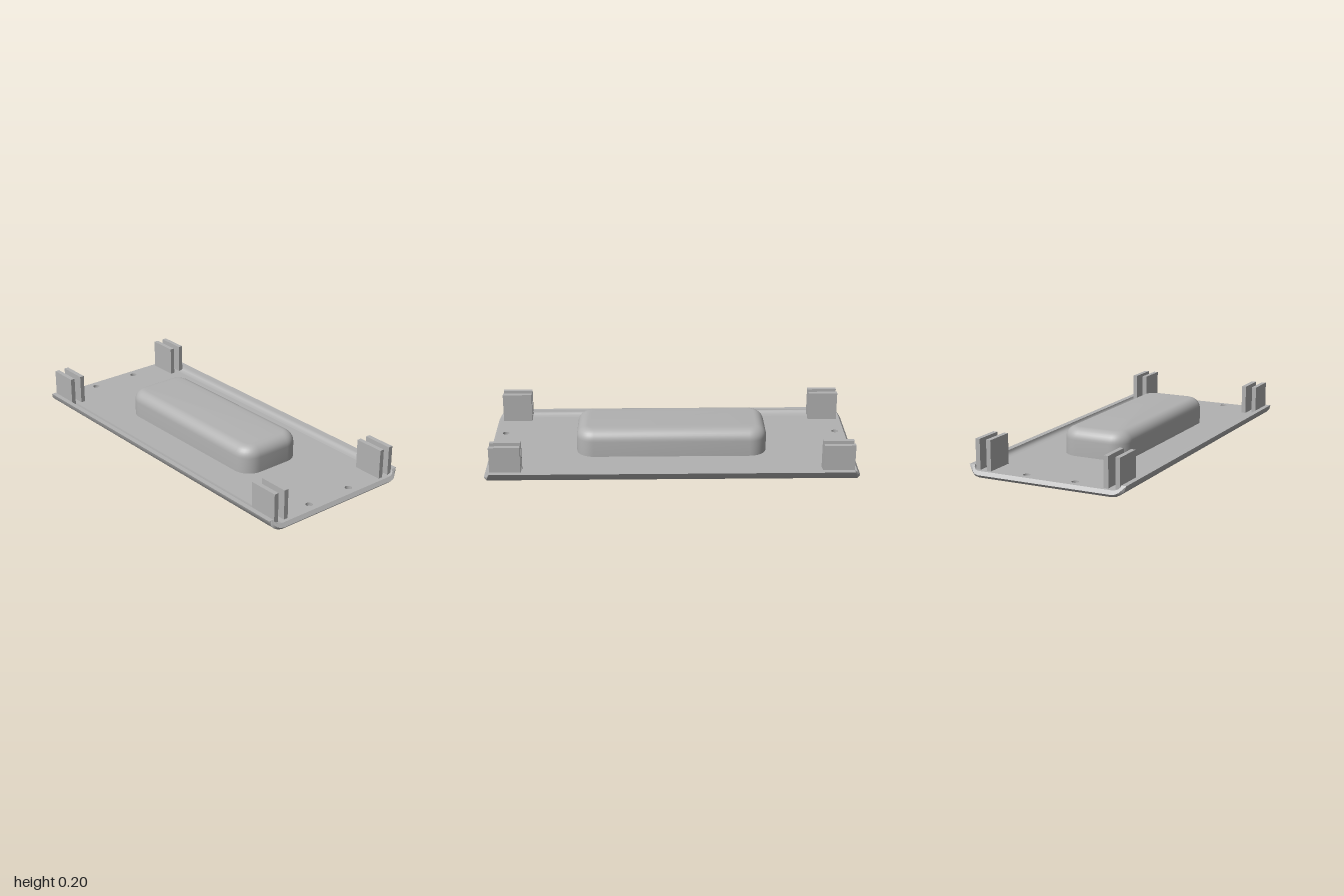
import * as THREE from 'three';
import { toCreasedNormals } from 'three/addons/utils/BufferGeometryUtils.js';

const TOP = 0.034;        // upper face of the flat plate
const FLAT = 0.375;       // half depth of the flat area
const EDGE = 0.985;       // half width of the flat faces
const WALL = 0.03;        // wall of the hollow cover

// Skins a list of closed rings of points, with optional caps.
function loft(rows, { capStart = false, capEnd = false, flip = false, skip = () => false } = {}) {
  const pos = [];
  const n = rows[0].length;
  const tri = (a, b, c) => {
    for (const p of flip ? [a, c, b] : [a, b, c]) pos.push(...p);
  };
  for (let i = 0; i < rows.length - 1; i++) {
    for (let j = 0; j < n; j++) {
      if (skip(i, j)) continue;
      const k = (j + 1) % n;
      tri(rows[i][j], rows[i][k], rows[i + 1][k]);
      tri(rows[i][j], rows[i + 1][k], rows[i + 1][j]);
    }
  }
  const last = rows[rows.length - 1];
  for (let k = 1; k < n - 1; k++) {
    if (capStart) tri(rows[0][0], rows[0][k + 1], rows[0][k]);
    if (capEnd) tri(last[0], last[k], last[k + 1]);
  }
  const g = new THREE.BufferGeometry();
  g.setAttribute('position', new THREE.Float32BufferAttribute(pos, 3));
  return toCreasedNormals(g, 0.6);
}

// Rounded footprint of the raised cover, pulled in by an inset.
function footprint(inset) {
  const hx = 0.52 - inset, hz = 0.19 - inset, r = Math.max(0.095 - inset, 0.02);
  const pts = [];
  for (let q = 0; q < 4; q++) {
    const sx = q === 0 || q === 3 ? 1 : -1, sz = q < 2 ? -1 : 1;
    for (let s = 0; s <= 8; s++) {
      const a = (q + s / 8) * Math.PI / 2;
      pts.push([sx * (hx - r) + r * Math.cos(a), 0.015 + sz * (hz - r) - r * Math.sin(a)]);
    }
  }
  return pts;
}

// Upright walls rounding over into a flat roof.
function dome(inset, bottom, top, radius, flip) {
  const ring = (d, y) => footprint(inset + d).map(([x, z]) => [x, y, z]);
  const rows = [ring(0, bottom)];
  for (let s = 0; s <= 8; s++) {
    const a = s / 8 * Math.PI / 2;
    rows.push(ring(radius * (1 - Math.cos(a)), top - radius * (1 - Math.sin(a))));
  }
  return loft(rows, { capEnd: true, flip });
}

// Flat face of the plate with an opening for the cover and round holes.
function flatFace(inset, y, up, holes) {
  const s = up ? -1 : 1;
  const shape = new THREE.Shape([[-EDGE, -FLAT], [EDGE, -FLAT], [EDGE, FLAT], [-EDGE, FLAT]]
    .map(([x, z]) => new THREE.Vector2(x, z)));
  shape.holes.push(new THREE.Path(footprint(inset).map(([x, z]) => new THREE.Vector2(x, s * z))));
  for (const [x, z] of holes) {
    shape.holes.push(new THREE.Path().absarc(x, s * z, 0.019, 0, Math.PI * 2, true));
  }
  return new THREE.ShapeGeometry(shape, 12).rotateX(s * Math.PI / 2).translate(0, y, 0);
}

// Plate outline and curled lips: ring of bottom, bevel ridge and top on both ends.
function rimGeometry() {
  // each station: bottom z, bottom y, top z, top y
  const stations = [
    [-0.443, 0.058, -0.411, 0.058], [-0.43, 0.039, -0.408, 0.048],
    [-0.415, 0.019, -0.4, 0.04], [-0.4, 0.006, -0.39, 0.036], [-FLAT, 0, -FLAT, TOP],
    [FLAT, 0, FLAT, TOP], [0.4, 0.004, 0.395, 0.036], [0.42, 0.014, 0.408, 0.041],
    [0.437, 0.031, 0.416, 0.049], [0.445, 0.058, 0.418, 0.058]
  ];
  const bevel = y => 1 - 0.81 * (y - 0.015);
  const rows = stations.map(([bz, by, tz, ty]) => {
    const my = by + (ty - by) * 0.45, mz = bz + (tz - bz) * 0.45;
    const half = [[bevel(my) - (my - by), by, bz], [bevel(my), my, mz], [bevel(ty), ty, tz]];
    return [...half, ...half.map(([x, y, z]) => [-x, y, z]).reverse()];
  });
  return loft(rows, {
    capStart: true, capEnd: true,
    skip: (i, j) => i === 4 && (j === 2 || j === 5)
  });
}

export function createModel() {
  const model = new THREE.Group();
  model.name = 'coverPlate';
  const grey = new THREE.MeshStandardMaterial({ color: 0xb2b2b2, side: THREE.DoubleSide });
  grey.name = 'plain grey';
  const add = (name, geometry, x = 0, y = 0, z = 0) => {
    const mesh = new THREE.Mesh(geometry, grey);
    mesh.name = name;
    mesh.position.set(x, y, z);
    model.add(mesh);
  };

  // Base plate
  const holes = [];
  for (const x of [-0.935, 0.935]) for (const z of [-0.125, 0.15]) holes.push([x, z]);
  add('plateRim', rimGeometry());
  add('plateTop', flatFace(0, TOP, true, holes));
  add('plateUnderside', flatFace(WALL, 0, false, []));

  // Hollow raised cover
  add('raisedCover', dome(0, TOP, 0.18, 0.06, false));
  add('coverCavity', dome(WALL, 0, 0.15, 0.03, true));

  // Shallow blind holes
  const depth = 0.018;
  for (const [x, z] of holes) {
    add('holeWall', new THREE.CylinderGeometry(0.019, 0.019, depth, 24, 1, true), x, TOP - depth / 2, z);
    add('holeFloor', new THREE.CircleGeometry(0.019, 24).rotateX(-Math.PI / 2), x, TOP - depth, z);
  }

  // Paired clip tabs at the four corners
  const tabTop = 0.195, tabBottom = 0.03;
  for (const x of [-0.883, 0.883]) {
    for (const z of [0.4, 0.336, -0.328, -0.391]) {
      add('clipTab', new THREE.BoxGeometry(0.165, tabTop - tabBottom, 0.025), x, (tabTop + tabBottom) / 2, z);
    }
  }
  return model;
}
